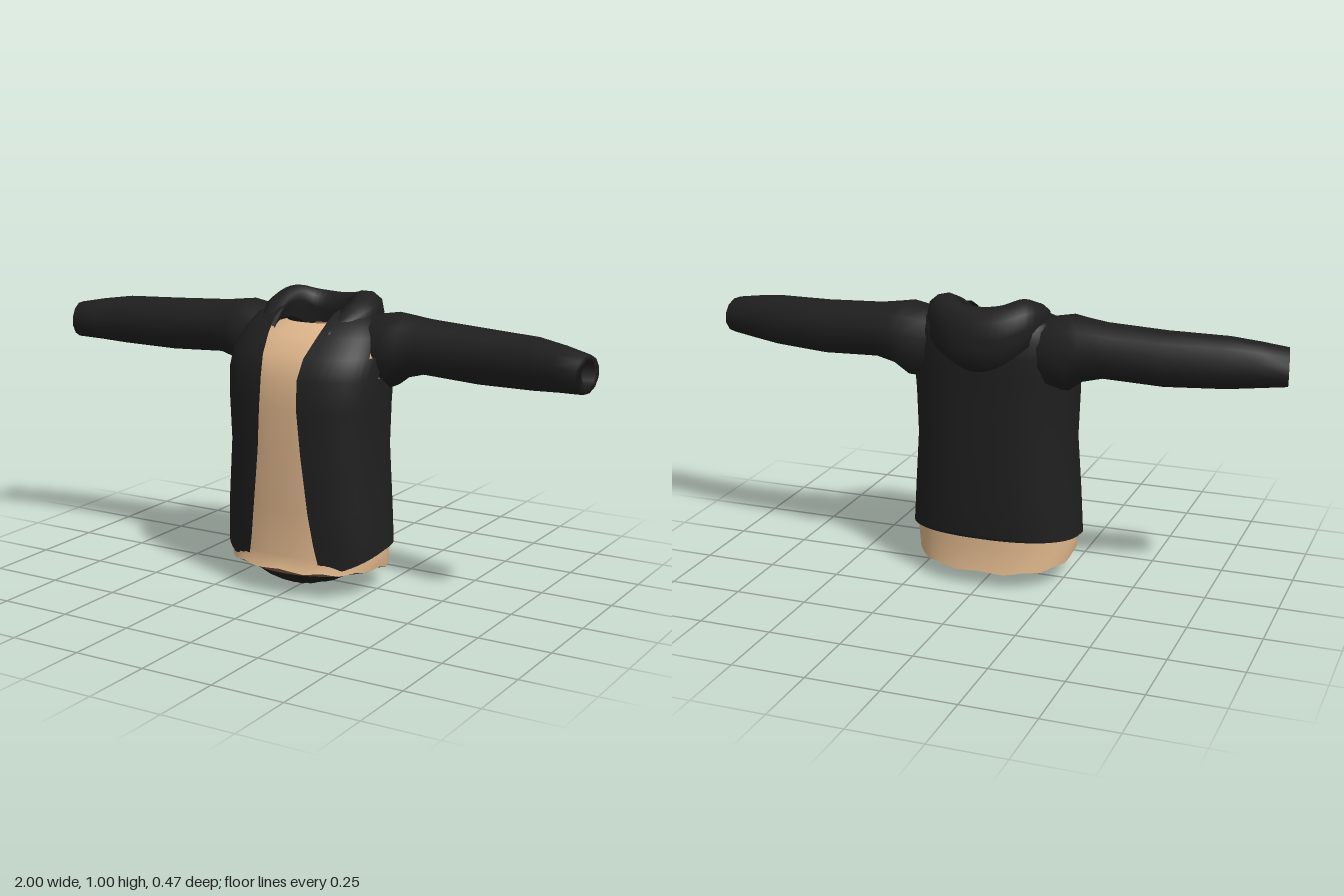
import * as THREE from 'three';

function cloth(name, color) {
  const mat = new THREE.MeshStandardMaterial({ color, side: THREE.DoubleSide });
  mat.name = name;
  return mat;
}
const black = cloth('black jacket fabric', 0x1f1f1f);
const tan = cloth('tan shirt fabric', 0xdcb48a);
const brown = cloth('brown shirt lining', 0x8a6040);

// Skin a list of point rows; optional closing of each row and skipping of cells
function loft(rows, closed, skip = () => false) {
  const n = rows[0].length;
  const index = [];
  for (let j = 0; j < rows.length - 1; j++) {
    for (let i = 0; i < (closed ? n : n - 1); i++) {
      const k = (i + 1) % n;
      const mid = rows[j][i].clone().add(rows[j + 1][k]).multiplyScalar(0.5);
      if (skip(mid)) continue;
      const a = j * n + i, b = j * n + k, c = a + n, d = b + n;
      index.push(a, b, d, a, d, c);
    }
  }
  const geo = new THREE.BufferGeometry().setFromPoints(rows.flat());
  geo.setIndex(index);
  geo.computeVertexNormals();
  return geo;
}

function add(group, name, geo, mat) {
  const mesh = new THREE.Mesh(geo, mat);
  mesh.name = name;
  group.add(mesh);
}

// Horizontal oval plate
function oval(rx, rz, y, z) {
  return new THREE.CircleGeometry(1, 24).rotateX(-Math.PI / 2).scale(rx, 1, rz).translate(0, y, z);
}

// Point on a body ring; angle 0 is the front centre
const ROUND = 0.85;
function ringPoint(a, y, hw, front, back) {
  const bulge = (v) => Math.sign(v) * Math.abs(v) ** ROUND;
  return new THREE.Vector3(hw * bulge(Math.sin(a)), y,
    (front + back) / 2 + (front - back) / 2 * bulge(Math.cos(a)));
}

// Hollow passage from the body into each sleeve
const armhole = (p) => Math.abs(p.x) > 0.15 && Math.hypot(p.y - 0.835, p.z + 0.012) < 0.071;

// Jacket hem dips towards the front opening
function hem(z) {
  if (z < 0) return 0.165 - z * 0.06;
  return 0.165 - 0.065 * Math.min(1, z / 0.185) ** 2;
}

function jacketBody() {
  // y, half width, front z, back z, half opening
  const levels = [
    [0.10, 0.300, 0.215, -0.165, 0.140], [0.19, 0.297, 0.222, -0.172, 0.122],
    [0.30, 0.290, 0.230, -0.178, 0.106], [0.50, 0.275, 0.235, -0.185, 0.083],
    [0.65, 0.280, 0.240, -0.187, 0.072], [0.75, 0.285, 0.232, -0.190, 0.069],
    [0.82, 0.280, 0.205, -0.195, 0.078], [0.88, 0.255, 0.150, -0.190, 0.093],
    [0.925, 0.225, 0.100, -0.180, 0.102], [0.95, 0.170, 0.055, -0.165, 0.102],
    [0.955, 0.125, 0.035, -0.130, 0.100],
  ];
  const N = 48;
  const rows = levels.map(([y, hw, f, b, gap]) => {
    const start = Math.asin((gap / hw) ** (1 / ROUND));
    return Array.from({ length: N + 1 }, (_, i) => {
      const p = ringPoint(start + (2 * Math.PI - 2 * start) * i / N, y, hw, f, b);
      p.y = Math.max(p.y, hem(p.z));
      return p;
    });
  });
  return loft(rows, false, armhole);
}

// Slanted, slightly wavy lower edge of the shirt
const SIDES = 48;
const shirtEdge = Array.from({ length: SIDES }, (_, i) => {
  const a = 2 * Math.PI * i / SIDES;
  const p = ringPoint(a, 0, 0.275, 0.235, -0.178);
  p.y = 0.087 + Math.min(0.008, p.z * 0.16) + 0.004 * Math.cos(12 * a);
  return p;
});

function shirtBody() {
  // y, half width, front z, back z
  const levels = [
    [0.14, 0.283, 0.212, -0.162], [0.30, 0.278, 0.218, -0.166],
    [0.50, 0.263, 0.223, -0.173], [0.65, 0.268, 0.228, -0.175],
    [0.75, 0.273, 0.221, -0.178], [0.82, 0.266, 0.194, -0.180],
    [0.88, 0.215, 0.132, -0.160], [0.912, 0.105, 0.060, -0.110],
  ];
  const rows = levels.map(([y, hw, f, b]) => Array.from({ length: SIDES }, (_, i) =>
    ringPoint(2 * Math.PI * i / SIDES, y, hw, f, b)));
  const openNape = (p) => p.y > 0.83 && p.z < 0.02;
  return loft([shirtEdge, ...rows], true, (p) => armhole(p) || openNape(p));
}

// Rings of the crumpled cloth closing the underside, r = 1 at its rim
function undersideRing(r) {
  return Array.from({ length: SIDES }, (_, i) => {
    const a = 2 * Math.PI * i / SIDES;
    const z = 0.07 + r * (Math.cos(a) > 0 ? 0.148 : 0.195) * Math.cos(a);
    const fold = r < 1 ? 0.006 * r * Math.sin(i * 1.3 + r * 5) : 0;
    return new THREE.Vector3(0.18 * r * Math.sin(a),
      0.004 + (0.051 + 0.115 * z) * r ** 1.4 + fold, z);
  });
}

function undersideCloth() {
  const geo = loft([1, 0.8, 0.55, 0.28, 0.001].map(undersideRing), true).toNonIndexed();
  geo.computeVertexNormals();
  return geo;
}

function sleeve(side) {
  // x, bottom y, top y, back z, front z, slant of the ring
  const levels = [
    [0.13, 0.750, 0.925, -0.130, 0.030, 0], [0.22, 0.705, 0.942, -0.158, 0.055, 0],
    [0.285, 0.707, 0.953, -0.166, 0.068, 0],
    [0.33, 0.742, 0.947, -0.162, 0.052, 0], [0.40, 0.760, 0.938, -0.155, 0.040, 0],
    [0.60, 0.750, 0.928, -0.135, 0.036, 0], [0.80, 0.756, 0.922, -0.102, 0.050, 0],
    [0.90, 0.764, 0.908, -0.075, 0.064, 0.008], [0.986, 0.770, 0.892, -0.050, 0.082, 0.013],
    [0.986, 0.798, 0.872, -0.028, 0.043, 0.008], [0.87, 0.798, 0.872, -0.030, 0.042, 0],
  ];
  const N = 12;
  return loft(levels.map(([x, y0, y1, z0, z1, slant]) => Array.from({ length: N }, (_, i) => {
    const a = 2 * Math.PI * (i + 0.5) / N;
    return new THREE.Vector3(side * (x - slant * Math.cos(a)),
      (y0 + y1) / 2 + (y1 - y0) / 2 * Math.sin(a) * 1.03,
      (z0 + z1) / 2 + (z1 - z0) / 2 * Math.cos(a) * 1.03);
  })), true);
}

// Folded-down hood: a rolled section swept from one collar end round the back to the other
function hood() {
  // inner x, inner z, outer x, outer z, top y, bottom y
  const half = [
    [0.000, -0.130, 0.000, -0.238, 0.985, 0.77], [0.060, -0.120, 0.105, -0.218, 0.992, 0.79],
    [0.100, -0.085, 0.183, -0.155, 1.007, 0.84], [0.115, -0.020, 0.207, -0.050, 0.985, 0.875],
    [0.108, 0.040, 0.178, 0.045, 0.948, 0.865], [0.098, 0.100, 0.130, 0.125, 0.900, 0.85],
  ];
  const mirrored = half.slice(1).reverse().map(([a, b, c, ...r]) => [-a, b, -c, ...r]);
  // position from inner to outer edge, height from bottom to top
  const section = [[0.2, 0.3], [0.02, 0.7], [0.0, 0.9], [0.3, 1], [0.65, 0.97],
    [0.92, 0.82], [1.0, 0.55], [0.92, 0.38], [0.95, 0.18], [0.55, 0]];
  const rows = section.map(([u, v]) => new THREE.CatmullRomCurve3(
    [...mirrored, ...half].map(([ix, iz, ox, oz, top, bottom]) => new THREE.Vector3(
      ix + (ox - ix) * u, bottom + (top - bottom) * v, iz + (oz - iz) * u))).getPoints(40));
  rows.push(rows[0].map((p) => p.clone()));
  return loft(rows, false);
}

export function createModel() {
  const model = new THREE.Group();
  model.name = 'hoodedJacketWithShirt';
  add(model, 'jacketBody', jacketBody(), black);
  add(model, 'leftSleeve', sleeve(1), black);
  add(model, 'rightSleeve', sleeve(-1), black);
  add(model, 'hood', hood(), black);
  add(model, 'shirt', shirtBody(), tan);
  add(model, 'shirtInnerHem', loft([shirtEdge, undersideRing(1)], true), brown);
  add(model, 'undersideCloth', undersideCloth(), black);
  // Dark inside of the neck with a small patch at the nape
  add(model, 'neckLining', oval(0.2, 0.135, 0.878, -0.025), black);
  add(model, 'napePatch', oval(0.06, 0.022, 0.884, -0.1), brown);
  return model;
}
